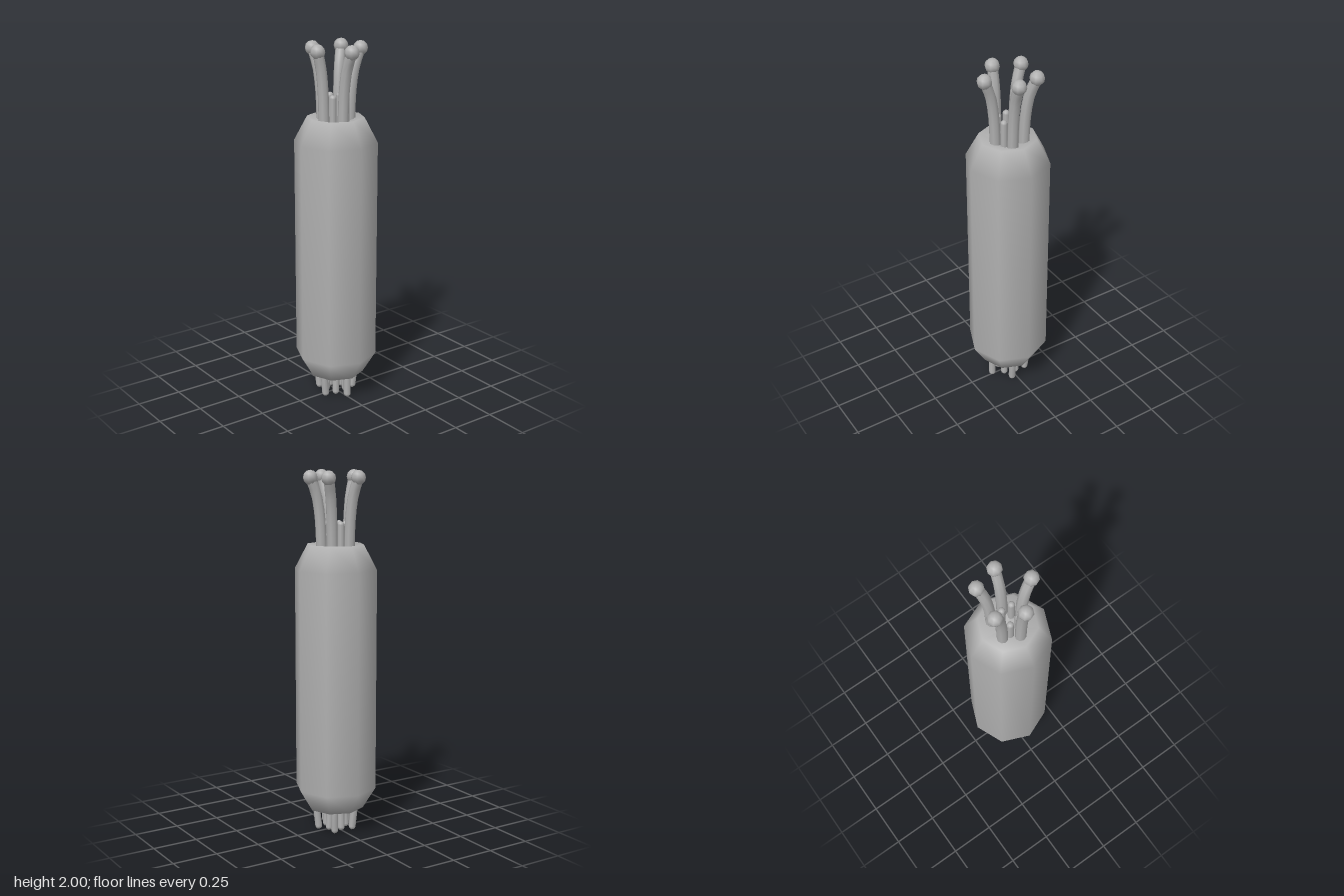
import * as THREE from 'three';

const grey = new THREE.MeshStandardMaterial({ color: 0xb0b0b0 });
grey.name = 'grey';

export function createModel() {
  const model = new THREE.Group();

  const add = (name, geometry, parent = model) => {
    const mesh = new THREE.Mesh(geometry, grey);
    mesh.name = name;
    parent.add(mesh);
    return mesh;
  };

  // Tube through points with a rounded tip at its last point
  const stalk = (name, points, radius, tipRadius, sides) => {
    const group = new THREE.Group();
    group.name = name;
    const curve = new THREE.CatmullRomCurve3(points.map((p) => new THREE.Vector3(...p)));
    add(name + 'Stem', new THREE.TubeGeometry(curve, 8, radius, sides), group);
    add(name + 'Tip', new THREE.SphereGeometry(tipRadius, sides, 6), group)
      .position.set(...points[points.length - 1]);
    model.add(group);
  };

  // Eight-sided body with tapered ends, slightly hollow at top and bottom
  const profile = [
    [0, 0.16], [0.155, 0.13], [0.227, 0.25], [0.227, 1.47], [0.155, 1.605], [0, 1.56],
  ].map(([r, y]) => new THREE.Vector2(r, y));
  add('body', new THREE.LatheGeometry(profile, 8));

  // Long outward-curving stalks: base x, z and tip x, z
  [
    [-0.045, -0.065, -0.065, -0.121],
    [0.06, -0.06, 0.11, -0.103],
    [-0.088, 0.015, -0.125, 0.013],
    [0.078, 0.02, 0.143, 0.025],
    [-0.006, 0.073, 0.002, 0.138],
  ].forEach(([bx, bz, tx, tz]) => {
    const at = (t, y) => [bx + (tx - bx) * t, y, bz + (tz - bz) * t];
    stalk('longStalk', [at(0, 1.5), at(0.02, 1.62), at(0.15, 1.76), at(0.45, 1.87), at(1, 1.96)],
      0.029, 0.04, 8);
  });

  // Short straight stalks inside the ring
  [[0, -0.052], [-0.05, -0.022], [-0.043, 0.033], [0.034, 0.045], [0.035, -0.013]]
    .forEach(([x, z]) => {
      stalk('shortStalk', [[x, 1.5, z], [x, 1.6, z], [x, 1.71, z]], 0.019, 0.019, 8);
    });

  // Two rings of small feet underneath
  [[0.11, 0], [0.052, Math.PI]].forEach(([r, phase], ring) => {
    for (let i = 0; i < 5; i++) {
      const a = phase + (i * Math.PI * 2) / 5;
      const lean = ring === 0 ? (i ? 0.9 : 1) : 1.1;
      const x = Math.sin(a) * r, z = Math.cos(a) * r;
      stalk('foot', [[x, 0.24, z], [x, 0.13, z], [x * lean, 0.022, z * lean]], 0.02, 0.02, 8);
    }
  });

  return model;
}
